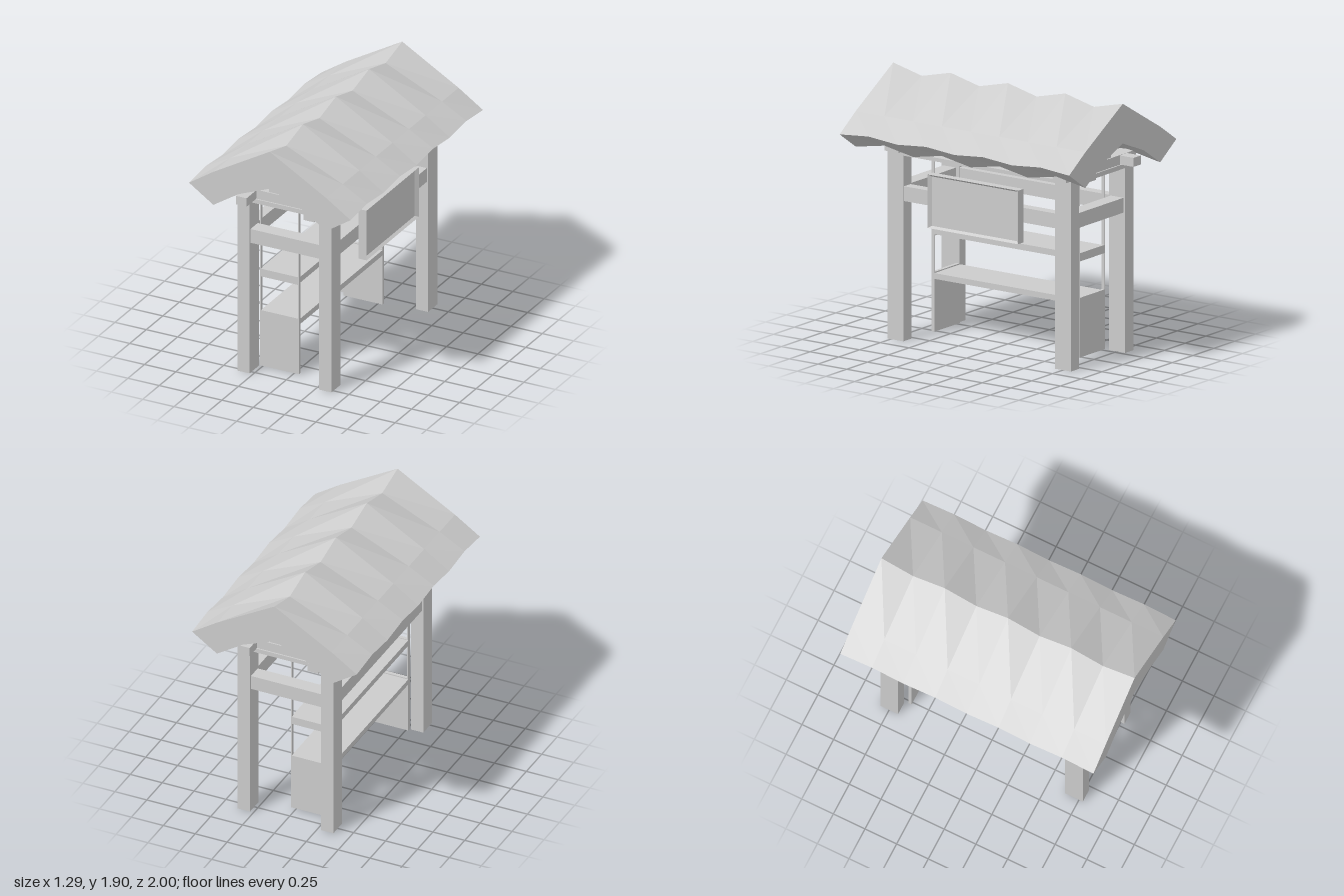
import * as THREE from 'three';

const wood = new THREE.MeshStandardMaterial({ color: 0xcccccc });
wood.name = 'plain grey';

// Box given by its x, y and z ranges
function box(parent, name, [x0, x1], [y0, y1], [z0, z1]) {
  const mesh = new THREE.Mesh(new THREE.BoxGeometry(x1 - x0, y1 - y0, z1 - z0), wood);
  mesh.position.set((x0 + x1) / 2, (y0 + y1) / 2, (z0 + z1) / 2);
  mesh.name = name;
  parent.add(mesh);
  return mesh;
}

// Faceted solid through counter-clockwise loops of [x, y, z], ordered from back to front
function loft(loops) {
  const pos = [];
  const n = loops[0].length;
  for (let i = 0; i < loops.length - 1; i++) {
    for (let j = 0; j < n; j++) {
      const k = (j + 1) % n;
      const a = loops[i][j], b = loops[i][k], c = loops[i + 1][k], d = loops[i + 1][j];
      pos.push(...a, ...b, ...c, ...a, ...c, ...d);
    }
  }
  const first = loops[0], last = loops[loops.length - 1];
  const flat = (loop) => loop.map(([x, y]) => new THREE.Vector2(x, y));
  for (const [a, b, c] of THREE.ShapeUtils.triangulateShape(flat(first), []))
    pos.push(...first[c], ...first[b], ...first[a]);
  for (const [a, b, c] of THREE.ShapeUtils.triangulateShape(flat(last), []))
    pos.push(...last[a], ...last[b], ...last[c]);
  const geo = new THREE.BufferGeometry();
  geo.setAttribute('position', new THREE.Float32BufferAttribute(pos, 3));
  geo.computeVertexNormals();
  return geo;
}

// Gabled roof: each profile point is [x, y, change of y at every second station]
function makeRoof() {
  const half = [
    [-0.45, 1.64, 0], [-0.645, 1.51, 0.022], [-0.45, 1.38, 0.045], [-0.25, 1.51, 0.02],
  ];
  const mirrored = half.map(([x, y, d]) => [-x, y, d]).reverse();
  const profile = [[0, 1.9, -0.06], ...half, [0, 1.61, 0], ...mirrored];
  const loops = [];
  for (let i = 0; i <= 8; i++)
    loops.push(profile.map(([x, y, d]) => [x, y + (i % 2) * d, -1 + i * 0.25]));
  const roof = new THREE.Mesh(loft(loops), wood);
  roof.name = 'roof';
  return roof;
}

// Hanging board with a sloping recess in its outer face
function makeBoard() {
  const rect = (w, h, z) => [[-w, -h, z], [w, -h, z], [w, h, z], [-w, h, z]];
  const geo = loft([
    rect(0.395, 0.195, -0.0325), rect(0.395, 0.195, 0.0325), rect(0.37, 0.18, 0.012),
  ]);
  geo.rotateY(Math.PI / 2);
  const board = new THREE.Mesh(geo, wood);
  board.position.set(0.4125, 1.075, -0.015);
  board.name = 'board';
  return board;
}

// Four posts with cross rails and top beams
function makeFrame() {
  const frame = new THREE.Group();
  frame.name = 'frame';
  const ends = [['front', [0.64, 0.78]], ['back', [-0.82, -0.68]]];
  const sides = [['right', [-0.375, -0.278]], ['left', [0.278, 0.375]]];
  for (const [end, z] of ends) {
    for (const [side, x] of sides) box(frame, `${end} ${side} post`, x, [0, 1.38], z);
    box(frame, `${end} rail`, [-0.278, 0.278], [1.02, 1.128], [z[0] + 0.015, z[1] - 0.015]);
    box(frame, `${end} top beam`, [-0.278, 0.278], [1.347, 1.38], z);
  }
  for (const [side, x] of sides) {
    box(frame, `${side} long rail`, [x[0] + 0.01, x[1] - 0.01], [1.02, 1.128], [-0.68, 0.64]);
    box(frame, `${side} long top beam`, x, [1.353, 1.38], [-0.68, 0.64]);
  }
  return frame;
}

// Purlins, tie beams and chamfered king posts under the roof
function makeTruss() {
  const truss = new THREE.Group();
  truss.name = 'truss';
  for (const s of [-1, 1])
    box(truss, 'purlin', [s * 0.27 - 0.043, s * 0.27 + 0.043], [1.382, 1.448], [-0.93, 0.92]);
  for (const z of [0.71, -0.75]) {
    box(truss, 'tie beam', [-0.42, 0.42], [1.38, 1.45], [z - 0.06, z + 0.06]);
    const plan = new THREE.Shape([[-0.135, -0.05], [0.13, -0.05], [0.13, 0], [0.07, 0.05], [-0.135, 0.05]]
      .map(([x, d]) => new THREE.Vector2(x, -d)));
    const geo = new THREE.ExtrudeGeometry(plan, { depth: 0.13, bevelEnabled: false });
    geo.rotateX(-Math.PI / 2);
    const post = new THREE.Mesh(geo, wood);
    post.position.set(0, 1.45, z);
    post.name = 'king post';
    truss.add(post);
  }
  return truss;
}

// Shelf unit between the posts
function makeShelves() {
  const unit = new THREE.Group();
  unit.name = 'shelf unit';
  const width = [-0.27, 0.04];
  for (const z of [[0.612, 0.638], [-0.65, -0.626]]) {
    box(unit, 'end panel', width, [0.005, 0.44], z);
    box(unit, 'end crosspiece', width, [0.705, 0.765], z);
    for (const x of [[-0.27, -0.262], [0.032, 0.04]]) {
      box(unit, 'upright', x, [0.44, 0.705], z);
      box(unit, 'upright', x, [0.765, 1.34], z);
    }
  }
  for (const y of [[0.39, 0.432], [0.715, 0.76], [1.33, 1.353]])
    box(unit, 'shelf', width, y, [-0.626, 0.612]);
  return unit;
}

export function createModel() {
  const model = new THREE.Group();
  model.name = 'roofed stand';
  model.add(makeRoof(), makeFrame(), makeTruss(), makeShelves(), makeBoard());
  return model;
}
